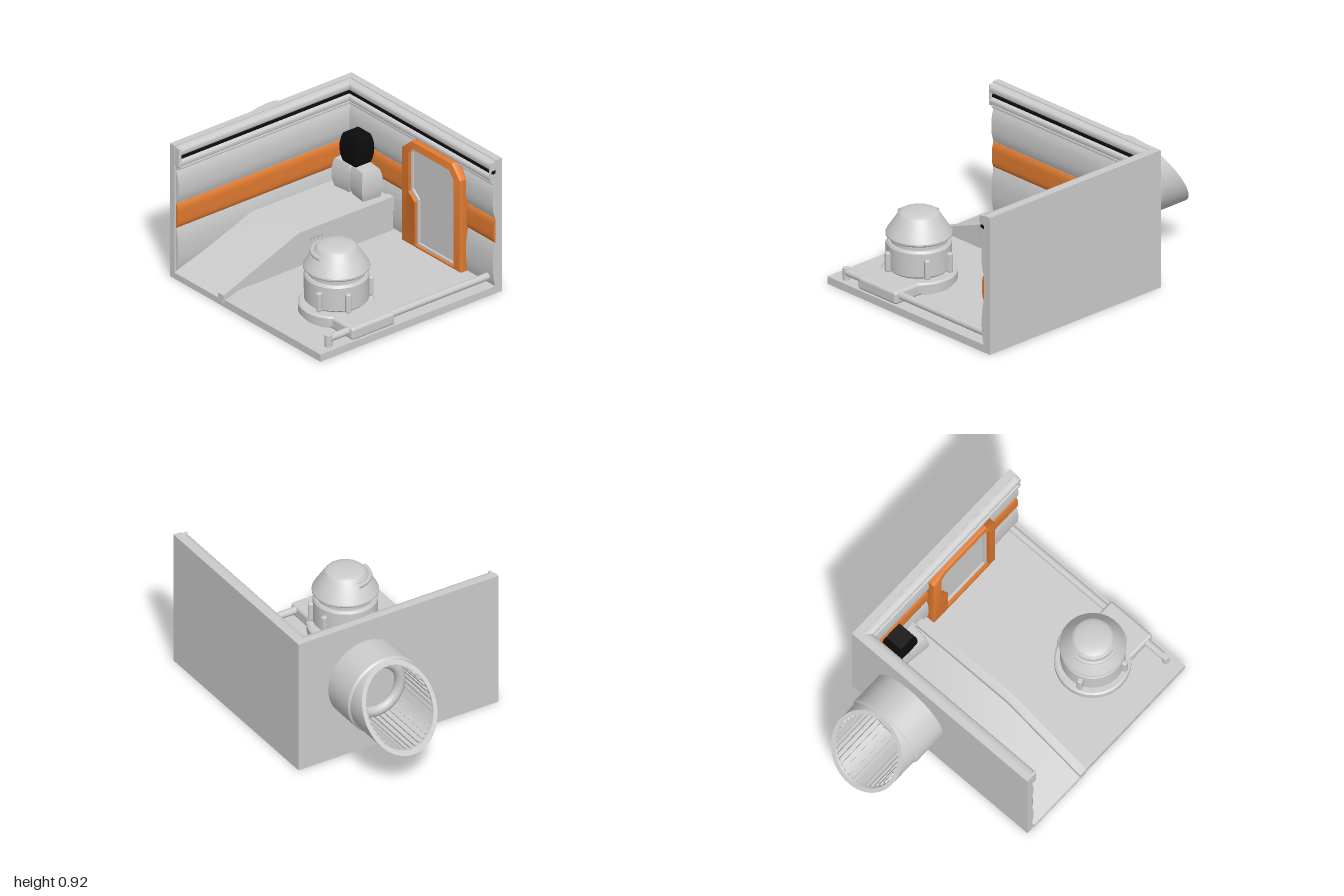
import * as THREE from 'three';
import { toCreasedNormals } from 'three/addons/utils/BufferGeometryUtils.js';
import { RoundedBoxGeometry } from 'three/addons/geometries/RoundedBoxGeometry.js';

const grey = new THREE.MeshStandardMaterial({ color: 0xcccccc, side: THREE.DoubleSide });
const orange = new THREE.MeshStandardMaterial({ color: 0xe07a30, side: THREE.DoubleSide });
const black = new THREE.MeshStandardMaterial({ color: 0x0c0c0c, side: THREE.DoubleSide });

const BACK = -0.68, LEFT = -0.395; // inner wall faces

export function createModel() {
  const root = new THREE.Group();

  const add = (name, geo, mat = grey, x = 0, y = 0, z = 0, parent = root) => {
    const m = new THREE.Mesh(geo, mat);
    m.name = name;
    m.position.set(x, y, z);
    parent.add(m);
    return m;
  };
  // box given by its limits
  const box = (name, x0, x1, y0, y1, z0, z1, mat = grey, r = 0) => {
    const s = [x1 - x0, y1 - y0, z1 - z0];
    const g = r ? new RoundedBoxGeometry(...s, 3, r) : new THREE.BoxGeometry(...s);
    return add(name, g, mat, (x0 + x1) / 2, (y0 + y1) / 2, (z0 + z1) / 2);
  };
  const shapeOf = pts => new THREE.Shape(pts.map(p => new THREE.Vector2(...p)));
  const sweep = (pts, depth) =>
    toCreasedNormals(new THREE.ExtrudeGeometry(shapeOf(pts), { depth, bevelEnabled: false }), 0.6);
  // profile of (z, y) points swept from x1 towards -x
  const sweepX = (name, pts, x1, len, mat, z = 0) =>
    add(name, sweep(pts, len).rotateY(-Math.PI / 2), mat, x1, 0, z);

  // Floor and walls
  box('floor', -0.44, 1, 0, 0.05, -0.73, 0.71);
  box('backWall', -0.44, 1, 0, 0.92, -0.73, BACK);
  box('leftWall', -0.44, LEFT, 0, 0.92, -0.73, 0.71);

  // Curved wall cladding, repeated along both walls
  const bulge = (y0, y1, d, flat = 2.5) => {
    const pts = [[0, y0]];
    for (let i = 0; i <= 12; i++) {
      const t = i / 6 - 1;
      pts.push([0.004 + d * (1 - Math.abs(t) ** flat), y0 + (y1 - y0) * i / 12]);
    }
    pts.push([0, y1]);
    return pts;
  };
  const bands = [
    ['lowerPanel', bulge(0.05, 0.345, 0.018), grey],
    ['orangeBand', bulge(0.35, 0.515, 0.014, 5), orange],
    ['upperPanel', bulge(0.52, 0.745, 0.02), grey],
    ['ledge', bulge(0.752, 0.775, 0.02, 6), grey],
    ['lowerCornice', bulge(0.775, 0.832, 0.04, 4), grey],
    ['corniceSlot', bulge(0.828, 0.854, 0.028, 8), black],
    ['upperCornice', bulge(0.85, 0.915, 0.04, 4), grey],
  ];
  for (const [name, pts, mat] of bands) {
    sweepX(name + 'Back', pts, 1, 1 - LEFT, mat, BACK);
    add(name + 'Left', sweep(pts, 0.7 - BACK), mat, LEFT, 0, BACK);
  }
  // Rounded caps at the ends of the cornice
  box('corniceCapFront', LEFT, -0.352, 0.775, 0.916, 0.685, 0.708, grey, 0.01);
  box('corniceCapRight', 0.98, 0.998, 0.775, 0.916, BACK, -0.637, grey, 0.008);

  // Ramp with a raised deck, and the notched rail along its side
  sweepX('ramp', [[-0.66, 0.04], [0.72, 0.04], [0.72, 0.05], [0.12, 0.27], [-0.66, 0.27]], 0.04, 0.425);
  box('rampLip', -0.385, 0.08, 0.03, 0.052, 0.69, 0.722);
  const rail = [[-0.63, 0.31], [0.12, 0.315], [0.72, 0.085], [0.72, 0.045], [0.1, 0.225], [0.05, 0.225]];
  for (let i = 0; i < 4; i++) {
    const z = 0.04 - i * 0.03;
    rail.push([z, 0.225], [z, 0.25], [z - 0.015, 0.25], [z - 0.015, 0.225]);
  }
  rail.push([-0.14, 0.225], [-0.17, 0.24], [-0.23, 0.24], [-0.26, 0.225], [-0.36, 0.225], [-0.4, 0.24], [-0.48, 0.24], [-0.63, 0.21]);
  sweepX('rampRail', rail, 0.086, 0.054);

  // Door frame with a wider lower left jamb, and its recessed panel
  const frame = shapeOf([[0.18, 0.055], [0.18, 0.7], [0.275, 0.78], [0.66, 0.78], [0.742, 0.69], [0.742, 0.055]]);
  frame.holes.push(new THREE.Path([[0.295, 0.04], [0.295, 0.36], [0.235, 0.41], [0.235, 0.69], [0.29, 0.737],
    [0.64, 0.737], [0.69, 0.675], [0.69, 0.06], [0.295, 0.06]].slice(1).map(p => new THREE.Vector2(...p))));
  add('doorFrame', toCreasedNormals(new THREE.ExtrudeGeometry(frame,
    { depth: 0.045, bevelThickness: 0.012, bevelSize: 0.01, bevelOffset: -0.01, bevelSegments: 2 }), 0.5), orange, 0, 0, BACK + 0.012);
  const lining = [[0.29, 0.05], [0.29, 0.37], [0.228, 0.415], [0.228, 0.695], [0.285, 0.745], [0.645, 0.745], [0.7, 0.68], [0.7, 0.05]];
  const liningShape = shapeOf(lining);
  liningShape.holes.push(new THREE.Path([[0.31, 0.075], [0.31, 0.375], [0.25, 0.425], [0.25, 0.68], [0.295, 0.718],
    [0.635, 0.718], [0.67, 0.665], [0.67, 0.075]].map(p => new THREE.Vector2(...p))));
  add('doorLining', new THREE.ExtrudeGeometry(liningShape, { depth: 0.04, bevelEnabled: false }), grey, 0, 0, BACK);
  add('doorPanel', new THREE.ExtrudeGeometry(shapeOf(lining), { depth: 0.026, bevelEnabled: false }), grey, 0, 0, BACK);

  // Barrel-sided crates stacked on the deck
  const crate = (name, mat, x, y, z, turn) => {
    const g = new RoundedBoxGeometry(0.15, 0.195, 0.15, 4, 0.02);
    const p = g.attributes.position;
    for (let i = 0; i < p.count; i++) {
      const k = 1.04 - 0.26 * (Math.abs(p.getY(i)) / 0.0975) ** 2;
      p.setX(i, p.getX(i) * k);
      p.setZ(i, p.getZ(i) * k);
    }
    // extra side rings give the bulge its belly
    const belly = new THREE.CylinderGeometry(0.092, 0.092, 0.195, 4, 8, false, Math.PI / 4);
    const b = belly.attributes.position;
    for (let i = 0; i < b.count; i++) {
      const k = 1.16 - 0.24 * (Math.abs(b.getY(i)) / 0.0975) ** 2.2;
      b.setX(i, b.getX(i) * k);
      b.setZ(i, b.getZ(i) * k);
    }
    add(name, toCreasedNormals(belly, 0.6), mat, x, y, z).rotation.y = turn;
  };
  crate('crateRight', grey, -0.256, 0.367, -0.555, 0.12);
  crate('crateLeft', grey, -0.09, 0.367, -0.555, -0.14);
  crate('crateTop', black, -0.187, 0.563, -0.562, 0);

  // Round machine: base, body, neck and conical head turned as one profile
  const machine = new THREE.Group();
  machine.name = 'machine';
  machine.position.set(0.636, 0, 0.28);
  root.add(machine);
  const lathe = (name, pts) => add(name, toCreasedNormals(
    new THREE.LatheGeometry(pts.map(p => new THREE.Vector2(...p)), 48), 0.5), grey, 0, 0, 0, machine);
  lathe('machineBase', [[0, 0.05], [0.215, 0.05], [0.215, 0.075], [0.237, 0.075], [0.237, 0.125], [0.225, 0.135], [0.17, 0.135], [0.17, 0.15], [0, 0.15]]);
  lathe('machineBody', [[0, 0.15], [0.19, 0.15], [0.2, 0.16], [0.2, 0.315], [0.19, 0.33], [0.178, 0.33], [0.178, 0.365], [0, 0.365]]);
  lathe('machineHead', [[0, 0.36], [0.195, 0.36], [0.206, 0.37], [0.206, 0.38], [0.195, 0.4], [0.13, 0.5], [0.12, 0.512], [0.1, 0.52], [0.06, 0.526], [0, 0.528]]);
  for (const a of [20, 70, 160, 250, 300].map(THREE.MathUtils.degToRad)) {
    const fin = add('bodyFin', new RoundedBoxGeometry(0.045, 0.13, 0.035, 2, 0.01), grey,
      0.205 * Math.cos(a), 0.215, 0.205 * Math.sin(a), machine);
    fin.rotation.y = -a;
  }
  const visor = new THREE.TorusGeometry(0.15, 0.016, 8, 24, 1.75).rotateX(Math.PI / 2).rotateY(-1.4);
  add('headVisor', visor, grey, 0, 0.475, 0, machine);

  // Platform beside the machine and the handrail it runs on
  box('sidePlatform', 0.76, 0.995, 0.05, 0.135, 0.11, 0.45, grey, 0.02);
  const railPath = new THREE.CurvePath();
  const a = new THREE.Vector3(0.945, 0.102, -0.66), b = new THREE.Vector3(0.945, 0.102, 0.6);
  railPath.add(new THREE.LineCurve3(a, b));
  add('floorRail', new THREE.TubeGeometry(railPath, 1, 0.024, 12), grey);
  add('floorRailPost', new THREE.CylinderGeometry(0.024, 0.024, 0.08, 12), grey, 0.945, 0.088, 0.6);
  add('floorRailEnd', new THREE.SphereGeometry(0.0245, 12, 8), grey, 0.945, 0.104, 0.6);

  // Outside duct: collar, slanted spout and ribbed lining
  const CY = 0.515, CZ = -0.252;
  const cut = y => -1 + (y + 0.253) / 0.506 * 0.32; // slanted mouth, y from the axis
  const slant = g => {
    const p = g.attributes.position;
    for (let i = 0; i < p.count; i++) if (p.getX(i) < -0.7) p.setX(i, cut(p.getY(i)));
    g.computeVertexNormals();
    return g;
  };
  const tube = (r, x0, x1) => new THREE.CylinderGeometry(r, r, x1 - x0, 48, 1, true)
    .rotateZ(Math.PI / 2).translate((x0 + x1) / 2, 0, 0);
  const ring = (r0, r1, x) => new THREE.RingGeometry(r0, r1, 48).rotateY(-Math.PI / 2).translate(x, 0, 0);
  const duct = new THREE.Group();
  duct.name = 'duct';
  duct.position.set(0, CY, CZ);
  root.add(duct);
  const addDuct = (name, g) => add(name, g, grey, 0, 0, 0, duct);
  addDuct('collar', tube(0.265, -0.665, -0.43));
  addDuct('collarBevel', new THREE.CylinderGeometry(0.253, 0.265, 0.012, 48, 1, true).rotateZ(Math.PI / 2).translate(-0.671, 0, 0));
  addDuct('spout', slant(tube(0.253, -1, -0.665)));
  addDuct('spoutInside', slant(tube(0.226, -1, -0.55)));
  addDuct('spoutRim', slant(ring(0.226, 0.253, -1)));
  addDuct('ductEnd', new THREE.CircleGeometry(0.23, 48).rotateY(-Math.PI / 2).translate(-0.55, 0, 0));
  addDuct('ductInnerRing', new THREE.TorusGeometry(0.17, 0.035, 10, 40).rotateY(Math.PI / 2).translate(-0.57, 0, 0));
  for (let i = 0; i < 40; i++) {
    const t = i / 40 * Math.PI * 2, y = 0.22 * Math.cos(t), z = 0.22 * Math.sin(t);
    const x0 = cut(y) + 0.012, len = -0.55 - x0;
    const rib = add('ductRib', new THREE.BoxGeometry(len, 0.016, 0.016), grey, x0 + len / 2, y, z, duct);
    rib.rotation.x = t;
  }
  return root;
}
